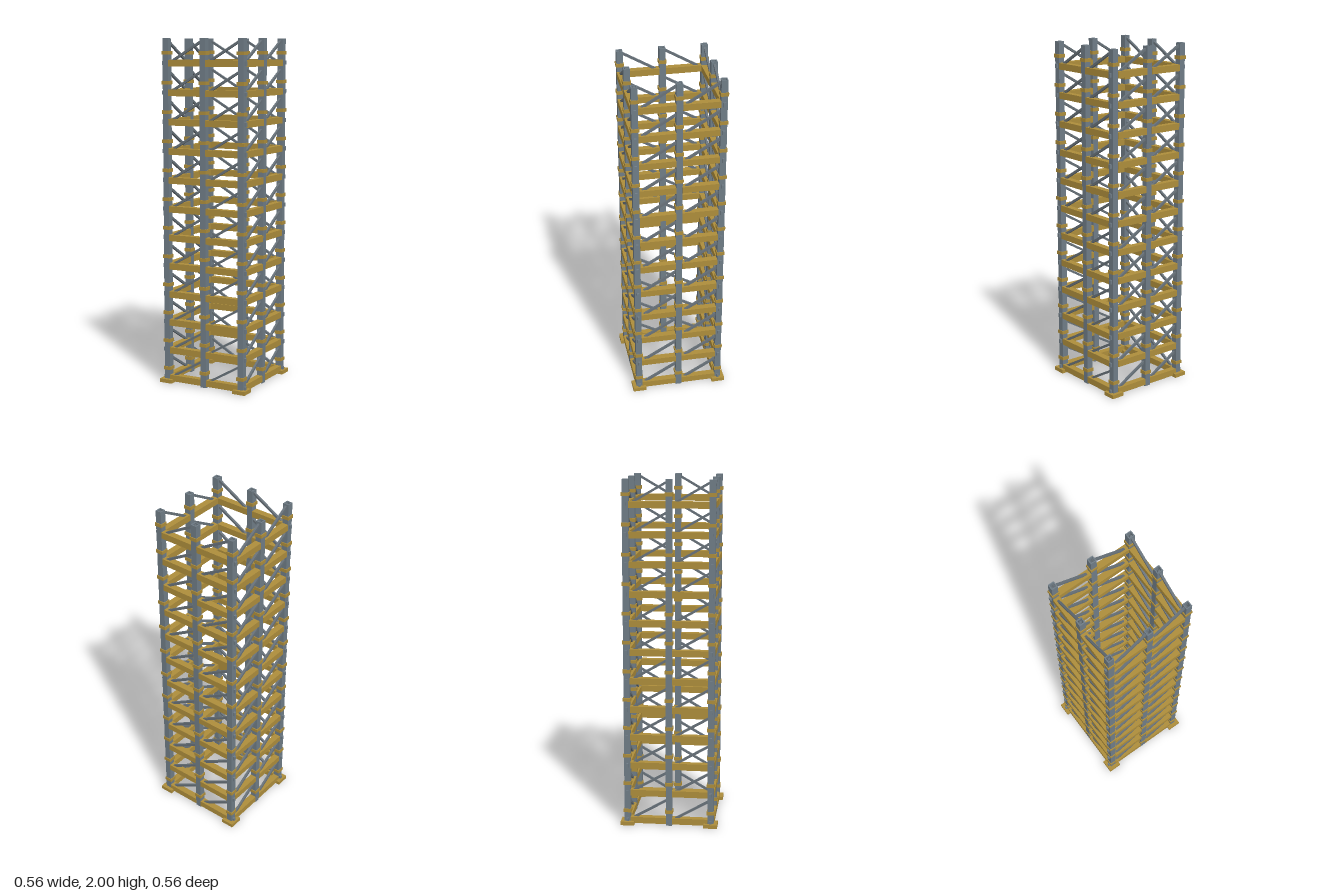
import * as THREE from 'three';

const LEVELS = 12, PITCH = 2 / LEVELS;
const R = 0.242;        // distance of each wall's centre line from the axis
const POST = 0.036;     // post width
const BEAM_Y = 0.028;   // beam height within a storey
const BAR = 0.013;      // brace thickness

const material = (name, color) => Object.assign(new THREE.MeshStandardMaterial({ color }), { name });

// Square tube standing on y = 0, open at both ends
function squareTube(outer, inner, height) {
  const square = (T, s) => new T([[-s, -s], [s, -s], [s, s], [-s, s]].map(([x, y]) => new THREE.Vector2(x, y)));
  const shape = square(THREE.Shape, outer / 2);
  shape.holes.push(square(THREE.Path, inner / 2));
  return new THREE.ExtrudeGeometry(shape, { depth: height, bevelEnabled: false }).rotateX(-Math.PI / 2);
}

export function createModel() {
  const tower = new THREE.Group();
  tower.name = 'scaffoldTower';
  const steel = material('steel', 0x6f7c86);
  const braceSteel = material('braceSteel', 0x68727a);
  const brass = material('brass', 0xad8d3b);

  const add = (parent, name, geometry, mat, x, y, z) => {
    const mesh = new THREE.Mesh(geometry, mat);
    mesh.name = name;
    mesh.position.set(x, y, z);
    parent.add(mesh);
    return mesh;
  };

  const postGeo = squareTube(POST, POST - 0.012, 2);
  const collarGeo = squareTube(0.045, POST - 0.002, 0.02);
  const padGeo = new THREE.BoxGeometry(0.079, 0.022, 0.079);
  const beamGeo = new THREE.BoxGeometry(R - POST, 0.037, 0.0385);
  const lugGeo = new THREE.BoxGeometry(0.014, 0.024, 0.014);
  const rise = 0.14;
  const braceGeo = new THREE.BoxGeometry(Math.hypot(R, rise), BAR, BAR);

  // Eight hollow posts with a collar on every storey
  for (const x of [-R, 0, R]) for (const z of [-R, 0, R]) {
    if (x === 0 && z === 0) continue;
    const corner = x !== 0 && z !== 0;
    const post = new THREE.Group();
    post.name = corner ? 'cornerPost' : 'middlePost';
    post.position.set(x, 0, z);
    tower.add(post);
    add(post, 'postTube', postGeo, steel, 0, 0, 0);
    if (corner) add(post, 'basePad', padGeo, brass, 0, 0.011, 0);
    for (let i = 0; i < LEVELS; i++) {
      add(post, 'collar', collarGeo, brass, 0, 0.075 + i * PITCH, 0);
      // Short lug on the outer side of each corner post
      if (corner) add(post, 'lug', lugGeo, steel, Math.sign(x) * 0.022, BEAM_Y + i * PITCH, 0);
    }
  }

  // Four identical walls turned around the axis: two bays of beams and rising braces
  for (let side = 0; side < 4; side++) {
    const wall = new THREE.Group();
    wall.name = ['frontWall', 'leftWall', 'backWall', 'rightWall'][side];
    wall.rotation.y = side * Math.PI / 2;
    tower.add(wall);
    for (let i = 0; i < LEVELS; i++) for (const x of [-R / 2, R / 2]) {
      const y = i * PITCH + BEAM_Y;
      add(wall, 'beam', beamGeo, brass, x, y, R);
      const brace = add(wall, 'diagonalBrace', braceGeo, braceSteel, x, y - 0.009 + rise / 2, R);
      brace.rotation.z = Math.atan2(rise, R);
    }
  }
  return tower;
}
